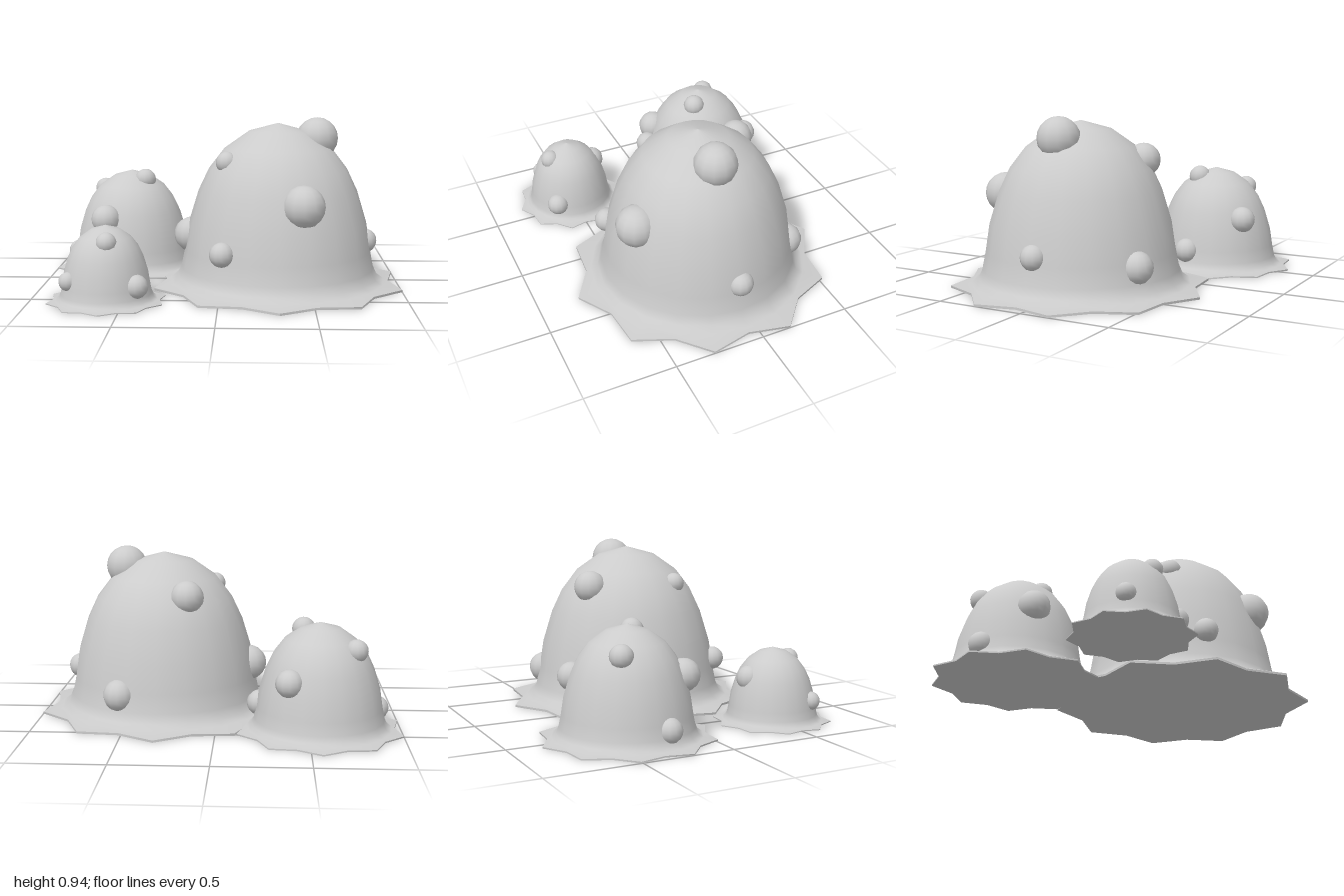
import * as THREE from 'three';

const material = new THREE.MeshStandardMaterial({ color: 0xcccccc });
const SPOKES = 20;
const RIM = 0.717;

// Profiles as [radius, height], from the ground upwards
const moundProfile = [
  [RIM, 0.012], [0.605, 0.026], [0.567, 0.05], [0.545, 0.1], [0.525, 0.2], [0.502, 0.35],
  [0.447, 0.53], [0.388, 0.655], [0.3, 0.77], [0.165, 0.865], [0, 0.91],
];
const edgeProfile = [[RIM, 0], [RIM, 0.012]];
const baseProfile = [[0, 0], [RIM, 0]];

// Lathe whose outer rim is pulled in at every other spoke, giving a ten-pointed star
function starLathe(profile) {
  const geometry = new THREE.LatheGeometry(profile.map(([r, y]) => new THREE.Vector2(r, y)), SPOKES);
  const position = geometry.attributes.position;
  for (let i = 0; i < position.count; i++) {
    const spoke = Math.floor(i / profile.length);
    const radius = profile[i % profile.length][0];
    if (spoke % 2 === 1 && radius === RIM) {
      position.setX(i, position.getX(i) * 0.88);
      position.setZ(i, position.getZ(i) * 0.88);
    }
  }
  return geometry;
}

// Each mound: centre, scale and its warts as [x, y, z, radius]
const mounds = [
  {
    name: 'largeMound', x: 0.318, z: 0.06, scale: 1,
    warts: [
      [0.445, 0.5, 0.47, 0.115], [0.535, 0.825, 0.065, 0.117], [0.015, 0.245, 0.485, 0.067],
      [0.035, 0.705, 0.23, 0.06], [0.812, 0.24, 0.045, 0.07], [0.165, 0.695, -0.245, 0.092],
      [0.525, 0.18, -0.395, 0.088], [-0.17, 0.27, 0.035, 0.1],
    ],
  },
  {
    name: 'mediumMound', x: -0.558, z: -0.365, scale: 0.648,
    warts: [
      [-0.47, 0.54, -0.295, 0.063], [-0.685, 0.325, -0.108, 0.087], [-0.875, 0.1, -0.29, 0.066],
      [-0.235, 0.13, -0.32, 0.07], [-0.39, 0.31, -0.6, 0.075], [-0.74, 0.46, -0.485, 0.062],
    ],
  },
  {
    name: 'smallMound', x: -0.595, z: 0.5, scale: 0.447,
    warts: [
      [-0.575, 0.332, 0.615, 0.055], [-0.775, 0.13, 0.625, 0.05],
      [-0.42, 0.108, 0.635, 0.063], [-0.6, 0.25, 0.345, 0.068],
    ],
  },
];

export function createModel() {
  const model = new THREE.Group();
  model.name = 'wartyMounds';

  const parts = {
    body: starLathe(moundProfile),
    skirtEdge: starLathe(edgeProfile),
    base: starLathe(baseProfile),
  };
  // The base is a flat underside
  parts.base.computeVertexNormals();
  parts.skirtEdge.computeVertexNormals();
  const faceDown = parts.base.attributes.normal;
  for (let i = 0; i < faceDown.count; i++) faceDown.setXYZ(i, 0, -1, 0);

  for (const { name, x, z, scale, warts } of mounds) {
    const group = new THREE.Group();
    group.name = name;

    // Domed body with its star-shaped skirt
    for (const [partName, geometry] of Object.entries(parts)) {
      const mesh = new THREE.Mesh(geometry, material);
      mesh.name = partName;
      mesh.position.set(x, 0, z);
      mesh.scale.setScalar(scale);
      group.add(mesh);
    }

    // Round warts half sunk into the body
    for (const [wx, wy, wz, radius] of warts) {
      const wart = new THREE.Mesh(new THREE.SphereGeometry(radius, 12, 10), material);
      wart.name = 'wart';
      wart.position.set(wx, wy, wz);
      group.add(wart);
    }
    model.add(group);
  }
  return model;
}
